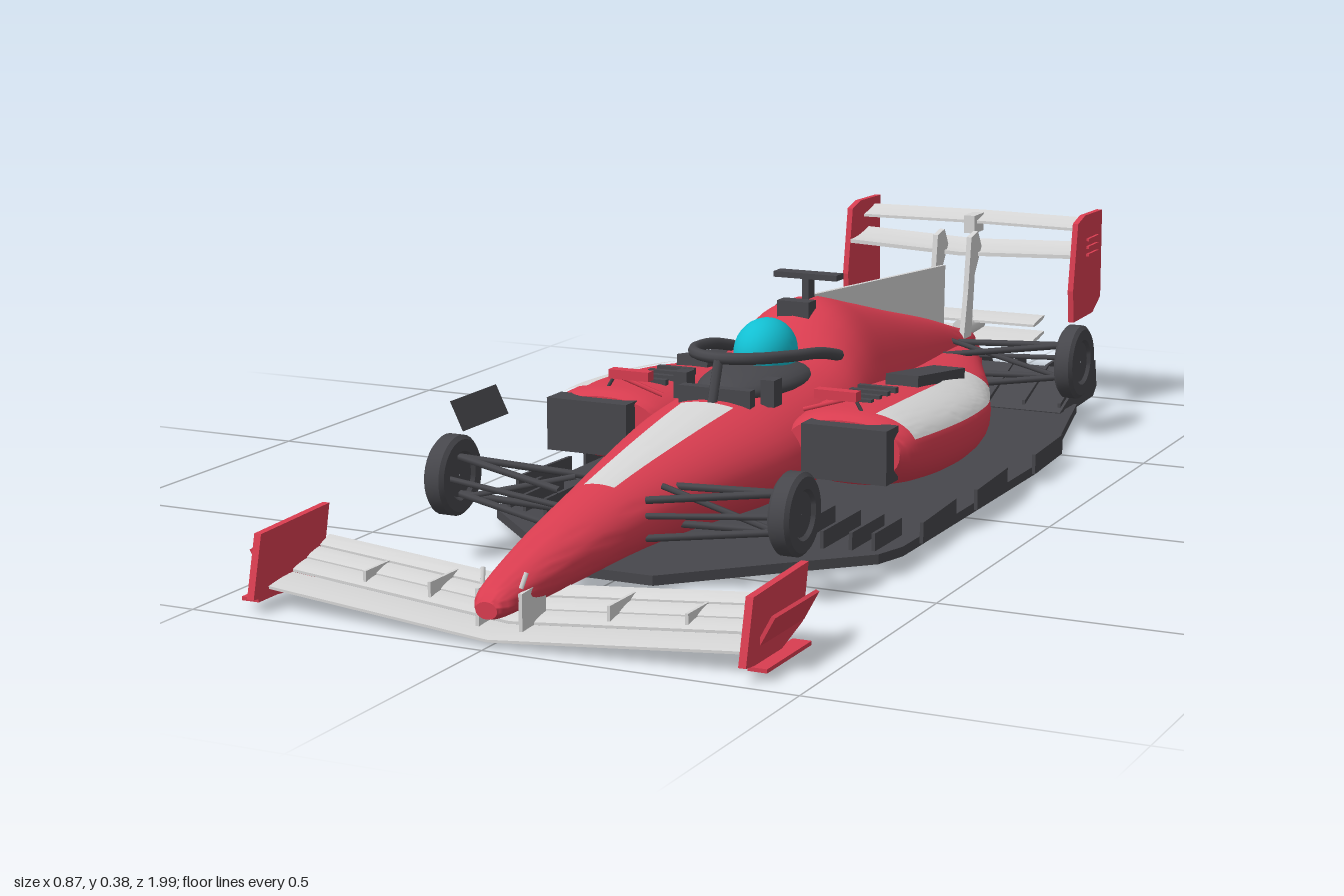
import * as THREE from 'three';
import { mergeVertices, toCreasedNormals } from 'three/addons/utils/BufferGeometryUtils.js';

const paint = (name, color, side = THREE.FrontSide) => {
  const m = new THREE.MeshStandardMaterial({ color, side });
  m.name = name;
  return m;
};
const V = (x, y, z) => new THREE.Vector3(x, y, z);

// Rows run front to back: [z, centreX, halfWidth, yMid, yTop, yBottom]
function sampleRows(rows, n) {
  const out = [];
  for (let k = 0; k <= n; k++) {
    const t = (k / n) * (rows.length - 1), i = Math.min(Math.floor(t), rows.length - 2), f = t - i;
    const at = q => rows[Math.max(0, Math.min(rows.length - 1, q))];
    out.push(rows[0].map((_, c) => {
      const [a, b, d, e] = [at(i - 1)[c], at(i)[c], at(i + 1)[c], at(i + 2)[c]];
      return b + 0.5 * f * (d - a + f * (2 * a - 5 * b + 4 * d - e + f * (3 * (b - d) + e - a)));
    }));
  }
  return out;
}

// Skin over elliptical sections; a0..a1 selects a strip, grow lifts it off the skin
function skin(rows, { a0 = 0, a1 = Math.PI * 2, z0 = -9, z1 = 9, grow = 0, pow = 0.85, sides = 36, cap = true } = {}) {
  const list = sampleRows(rows, 60).filter(r => r[0] >= z0 && r[0] <= z1);
  const pos = [], idx = [];
  const ring = (r, k) => {
    for (let j = 0; j <= sides; j++) {
      const a = a0 + (a1 - a0) * j / sides, c = Math.cos(a), s = Math.sin(a);
      const px = Math.sign(c) * Math.abs(c) ** pow, py = Math.sign(s) * Math.abs(s) ** pow;
      const h = (s > 0 ? r[4] - r[3] : r[3] - r[5]) + grow;
      pos.push(r[1] + k * (r[2] + grow) * px, r[3] + k * h * py, r[0]);
    }
  };
  if (cap) ring(list[0], 0);
  list.forEach(r => ring(r, 1));
  if (cap) ring(list[list.length - 1], 0);
  const w = sides + 1, count = pos.length / 3 / w;
  for (let i = 0; i < count - 1; i++) for (let j = 0; j < sides; j++) {
    const a = i * w + j, b = a + 1, c = a + w, d = c + 1;
    idx.push(a, c, b, b, c, d);
  }
  const g = new THREE.BufferGeometry();
  g.setAttribute('position', new THREE.Float32BufferAttribute(pos, 3));
  g.setIndex(idx);
  return toCreasedNormals(mergeVertices(g, 1e-5), 0.7);
}

// Wing blade with sweep, tip lift, pitch and camber
function blade(halfSpan, chord, thick, { sweep = 0, lift = 0, pitch = 0, camber = 0 } = {}) {
  const g = new THREE.BoxGeometry(halfSpan * 2, thick, chord, 12, 1, 5), p = g.attributes.position;
  for (let i = 0; i < p.count; i++) {
    const x = Math.abs(p.getX(i)), z = p.getZ(i), u = z / chord;
    p.setY(i, p.getY(i) * (1 - 1.6 * u * u) + lift * x - pitch * z - camber * (1 - 4 * u * u));
    p.setZ(i, z - sweep * x);
  }
  return toCreasedNormals(g, 0.6);
}

// Side-on outline of [z, y] points, thickness along x, centred
function sidePlate(pts, t) {
  const g = new THREE.ExtrudeGeometry(new THREE.Shape(pts.map(([z, y]) => new THREE.Vector2(-z, y))), { depth: t, bevelEnabled: false });
  return g.translate(0, 0, -t / 2).rotateY(Math.PI / 2);
}

const rod = (a, b, r = 0.006) => new THREE.TubeGeometry(new THREE.LineCurve3(a, b), 1, r, 6);
const box = (x, y, z) => new THREE.BoxGeometry(x, y, z);

export function createModel() {
  const car = new THREE.Group();
  car.name = 'racingCar';
  const red = paint('red paint', 0xd93d50), silver = paint('silver paint', 0xd6d6d6);
  const dark = paint('carbon black', 0x47474c), cyan = paint('helmet cyan', 0x12bfd2);
  const add = (name, geo, mat, x = 0, y = 0, z = 0) => {
    const m = new THREE.Mesh(geo, mat);
    m.name = name;
    m.position.set(x, y, z);
    car.add(m);
    return m;
  };

  // Main body from nose to tail
  const body = [
    [0.985, 0, 0.018, 0.055, 0.068, 0.042], [0.95, 0, 0.034, 0.065, 0.09, 0.038], [0.8, 0, 0.058, 0.085, 0.13, 0.04],
    [0.6, 0, 0.085, 0.105, 0.168, 0.045], [0.4, 0, 0.123, 0.115, 0.198, 0.04], [0.25, 0, 0.148, 0.12, 0.216, 0.03],
    [0.1, 0, 0.155, 0.125, 0.232, 0.028], [0, 0, 0.155, 0.13, 0.255, 0.028], [-0.07, 0, 0.153, 0.13, 0.305, 0.028],
    [-0.14, 0, 0.148, 0.13, 0.327, 0.028], [-0.25, 0, 0.135, 0.13, 0.303, 0.03], [-0.45, 0, 0.1, 0.12, 0.252, 0.035],
    [-0.65, 0, 0.068, 0.115, 0.203, 0.05], [-0.82, 0, 0.042, 0.11, 0.155, 0.075], [-0.89, 0, 0.025, 0.11, 0.138, 0.085]];
  add('body', skin(body, { pow: 1 }), red);
  add('nosePanel', skin(body, { pow: 1, a0: 1.25, a1: Math.PI - 1.25, z0: 0.25, z1: 0.66, grow: 0.004, sides: 10, cap: false }), silver);
  add('engineFin', sidePlate([[-0.14, 0.33], [-0.77, 0.285], [-0.765, 0.165], [-0.45, 0.24], [-0.25, 0.295]], 0.008), silver);

  // Cockpit, driver and head protection frame
  const pit = add('cockpitOpening', new THREE.SphereGeometry(1, 28, 14), dark, 0, 0.222, 0.07);
  pit.scale.set(0.085, 0.03, 0.16);
  add('driverCollar', new THREE.CylinderGeometry(0.045, 0.06, 0.05, 24), dark, 0, 0.235, 0.04);
  add('helmet', new THREE.SphereGeometry(1, 28, 18), cyan, 0, 0.262, 0.04).scale.set(0.052, 0.058, 0.068);
  const hoop = [V(0.1, 0.25, -0.04), V(0.1, 0.268, 0.04), V(0.088, 0.278, 0.13), V(0.05, 0.283, 0.2)];
  const path = [...hoop, V(0, 0.284, 0.222), ...hoop.map(p => V(-p.x, p.y, p.z)).reverse()];
  add('protectionHoop', new THREE.TubeGeometry(new THREE.CatmullRomCurve3(path), 48, 0.01, 8), dark);
  add('hoopPillar', rod(V(0, 0.284, 0.222), V(0, 0.205, 0.25), 0.009), dark);
  add('windscreenBase', box(0.13, 0.03, 0.02), dark, 0, 0.222, 0.23);

  // Camera mast and air intake behind the driver
  add('cameraMast', box(0.012, 0.045, 0.025), dark, 0, 0.342, -0.135);
  add('cameraBar', box(0.12, 0.01, 0.03), dark, 0, 0.366, -0.135);
  add('rollHoopIntake', box(0.06, 0.03, 0.03), dark, 0, 0.315, -0.085);

  // Floor
  const half = [[0.08, 0.62], [0.23, 0.47], [0.345, 0.36], [0.362, 0.3], [0.362, -0.32], [0.335, -0.5], [0.26, -0.82]];
  const outline = [...half, ...half.map(([x, z]) => [-x, z]).reverse()].map(([x, z]) => new THREE.Vector2(x, z));
  add('floor', new THREE.ExtrudeGeometry(new THREE.Shape(outline), { depth: 0.016, bevelEnabled: false }).rotateX(Math.PI / 2), dark, 0, 0.024, 0);

  // Diffuser with strakes
  add('diffuserRoof', box(0.52, 0.008, 0.16), dark, 0, 0.05, -0.8).rotation.x = 0.36;
  for (let i = 0; i < 8; i++) {
    add('diffuserStrake', sidePlate([[-0.74, 0.012], [-0.93, 0.018], [-0.95, 0.035], [-0.94, 0.088], [-0.87, 0.085], [-0.74, 0.04]], 0.006),
      dark, -0.252 + i * 0.072);
  }

  // Front wing
  [[0.953, 0.064, 0.013, 0.1], [0.901, 0.038, 0.024, 0.2], [0.864, 0.034, 0.034, 0.25], [0.829, 0.03, 0.045, 0.3]].forEach(([z, chord, y, pitch]) =>
    add('frontWingBlade', blade(0.402, chord, 0.007, { sweep: 0.1, lift: 0.055, pitch }), silver, 0, y, z));

  // Rear wing
  add('rearWingMain', blade(0.232, 0.09, 0.012, { pitch: 0.15, camber: 0.006, lift: 0.04 }), silver, 0, 0.302, -0.895);
  add('rearWingFlap', blade(0.232, 0.055, 0.009, { pitch: 0.25, camber: 0.003, lift: -0.01 }), silver, 0, 0.356, -0.945);
  add('rearWingActuator', box(0.022, 0.035, 0.05), silver, 0, 0.345, -0.93);
  add('lowerBeamWing', blade(0.14, 0.08, 0.008, { pitch: 0.15 }), silver, 0, 0.125, -0.92);
  add('upperBeamWing', blade(0.14, 0.06, 0.008, { pitch: 0.15 }), silver, 0, 0.158, -0.93);
  add('tailStrut', box(0.02, 0.08, 0.05), red, 0, 0.09, -0.91);
  add('exhaust', new THREE.CylinderGeometry(0.018, 0.018, 0.09, 18).rotateX(Math.PI / 2), silver, 0, 0.143, -0.91);

  // Everything that is mirrored left and right
  for (const s of [1, -1]) {
    // Sidepod with silver shoulder
    const pod = [
      [0.215, 0.22, 0.1, 0.15, 0.198, 0.1], [0.18, 0.22, 0.116, 0.148, 0.207, 0.085], [0.1, 0.215, 0.13, 0.145, 0.207, 0.07],
      [0, 0.205, 0.14, 0.14, 0.203, 0.058], [-0.1, 0.195, 0.14, 0.135, 0.196, 0.05], [-0.2, 0.175, 0.14, 0.13, 0.185, 0.045],
      [-0.3, 0.15, 0.13, 0.12, 0.175, 0.042], [-0.4, 0.125, 0.115, 0.115, 0.165, 0.04], [-0.5, 0.1, 0.1, 0.11, 0.157, 0.042],
      [-0.6, 0.075, 0.08, 0.105, 0.15, 0.045], [-0.72, 0.05, 0.052, 0.1, 0.14, 0.055], [-0.82, 0.035, 0.028, 0.1, 0.13, 0.07]
    ].map(r => [r[0], s * r[1], ...r.slice(2)]);
    add('sidepod', skin(pod), red);
    const [a0, a1] = s > 0 ? [0.32, 1.25] : [Math.PI - 1.25, Math.PI - 0.32];
    add('sidepodPanel', skin(pod, { a0, a1, z0: -0.4, z1: 0.19, grow: 0.004, sides: 12, cap: false }), silver);
    add('sidepodInlet', box(0.15, 0.09, 0.05), dark, s * 0.235, 0.15, 0.222);
    add('sidepodVent', box(0.06, 0.02, 0.22), dark, s * 0.2, 0.193, -0.19).rotation.x = -0.12;
    for (let i = 0; i < 4; i++) add('sidepodLouvre', box(0.07, 0.012, 0.012), dark, s * 0.19, 0.206, 0.0 + i * 0.035);

    // Mirror
    add('mirrorArm', rod(V(s * 0.13, 0.2, 0.17), V(s * 0.22, 0.228, 0.17), 0.004), red);
    add('mirror', box(0.075, 0.016, 0.02), red, s * 0.19, 0.23, 0.17);
    add('mirrorStay', rod(V(s * 0.22, 0.228, 0.17), V(s * 0.24, 0.195, 0.17), 0.003), dark);
    add('cockpitSidePad', box(0.025, 0.045, 0.03), dark, s * 0.08, 0.228, 0.19);

    // Floor fences and edge fins
    [0.2, 0.25, 0.295, 0.33].forEach((x, i) => add('floorFence', box(0.006, 0.03, 0.17 - i * 0.02), dark, s * x, 0.038, 0.29));
    [-0.36, -0.08, 0.16].forEach(z => add('floorEdgeFin', box(0.006, 0.035, 0.17), dark, s * 0.366, 0.034, z).rotation.y = s * 0.06);

    // Wheels and suspension
    for (const [z, r, bodyX, za, zb] of [[0.575, 0.065, 0.075, 0.53, 0.63], [-0.69, 0.069, 0.05, -0.58, -0.73]]) {
      const w = r * 0.9;
      const tyre = [[0.001, -0.012], [w * 0.6, -0.012], [w * 0.68, -0.018], [w, -0.018], [r, -0.012], [r, 0.012], [w, 0.018], [w * 0.68, 0.018], [w * 0.6, 0.012], [0.001, 0.012]];
      const geo = new THREE.LatheGeometry(tyre.map(p => new THREE.Vector2(...p)), 32).rotateZ(Math.PI / 2);
      add('wheel', toCreasedNormals(geo, 0.5), dark, s * 0.298, 0.135, z);
      for (const [yIn, yOut] of [[0.085, 0.105], [0.145, 0.165]]) for (const zi of [za, zb]) {
        add('wishbone', rod(V(s * bodyX, yIn, zi), V(s * 0.285, yOut, z), 0.006), dark);
      }
      add('pushRod', rod(V(s * bodyX, 0.155, z), V(s * 0.28, 0.1, z), 0.005), dark);
      add('trackRod', rod(V(s * bodyX, 0.12, zb), V(s * 0.285, 0.135, z + 0.03 * Math.sign(zb - za)), 0.005), dark);
    }
    // Deflector above the front wheel, facing inward only
    add('wheelDeflector', new THREE.PlaneGeometry(0.145, 0.052), dark, s * 0.297, 0.227, 0.49).rotation.set(-0.45, -s * Math.PI / 2, 0, 'YXZ');

    // Front wing end plate, foot, canard and dividers
    add('frontEndPlate', sidePlate([[0.985, 0.022], [0.96, 0.118], [0.775, 0.124], [0.795, 0.04], [0.89, 0.012]], 0.012), red, s * 0.406);
    add('frontEndFoot', box(0.03, 0.006, 0.15), red, s * 0.42, 0.016, 0.89);
    add('frontEndCanard', box(0.006, 0.05, 0.15), red, s * 0.421, 0.065, 0.865).rotation.z = -s * 0.5;
    [0.15, 0.27].forEach(x => add('frontWingDivider', box(0.005, 0.03, 0.1), silver, s * x, 0.042, 0.86 - 0.1 * x));
    add('frontWingPylon', sidePlate([[0.95, 0], [0.95, 0.075], [0.88, 0.08], [0.88, 0.02]], 0.006), silver, s * 0.036);
    add('noseProbe', rod(V(s * 0.032, 0.08, 0.94), V(s * 0.036, 0.102, 0.93), 0.004), silver);

    // Rear wing end plate and pylon
    add('rearEndPlate', sidePlate([[-0.86, 0.368], [-0.9, 0.379], [-1, 0.377], [-1, 0.205], [-0.955, 0.18], [-0.845, 0.178], [-0.838, 0.24]], 0.011), red, s * 0.236);
    for (const y of [0.3, 0.315, 0.33]) add('endPlateLouvre', box(0.008, 0.005, 0.06), red, s * 0.243, y, -0.94);
    add('rearWingPylon', sidePlate([[-0.78, 0.14], [-0.8, 0.23], [-0.815, 0.335], [-0.85, 0.342], [-0.87, 0.31], [-0.835, 0.26], [-0.82, 0.14]], 0.01), silver, s * 0.035);
  }
  return car;
}
